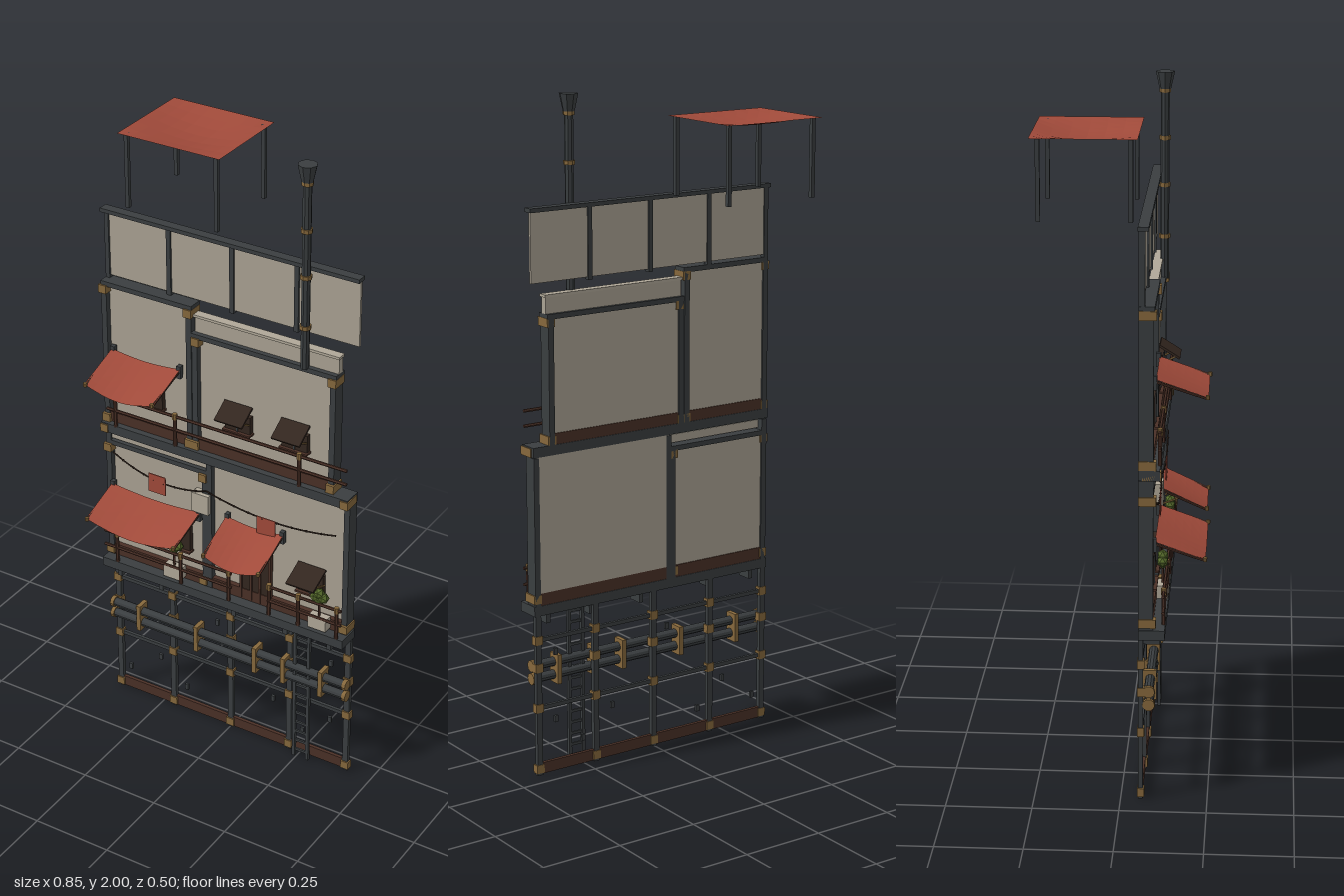
import * as THREE from 'three';

const mat = (color, double = false) => new THREE.MeshStandardMaterial({
  color, flatShading: true, side: double ? THREE.DoubleSide : THREE.FrontSide });
const wall = mat(0xaaa293), iron = mat(0x3a3e40), brown = mat(0x4a3026), dark = mat(0x33261f);
const brass = mat(0x86683c), stone = mat(0xb0a898), leaf = mat(0x566b2c), red = mat(0xa04a3a, true);

export function createModel() {
  const root = new THREE.Group();
  let parent = root;

  const section = (name) => {
    parent = new THREE.Group();
    parent.name = name;
    root.add(parent);
  };
  const add = (name, geo, m) => {
    const mesh = new THREE.Mesh(geo, m);
    mesh.name = name;
    parent.add(mesh);
    return mesh;
  };
  // Box given by its limits on each axis
  const box = (name, m, x0, x1, y0, y1, z0, z1) => {
    const b = add(name, new THREE.BoxGeometry(x1 - x0, y1 - y0, z1 - z0), m);
    b.position.set((x0 + x1) / 2, (y0 + y1) / 2, (z0 + z1) / 2);
    return b;
  };
  // Round bar between two points
  const bar = (name, m, a, b, r, sides = 8, r2 = r) => {
    const p = new THREE.Vector3(...a), q = new THREE.Vector3(...b);
    const mesh = add(name, new THREE.CylinderGeometry(r2, r, p.distanceTo(q), sides), m);
    mesh.position.copy(p).add(q).multiplyScalar(0.5);
    mesh.quaternion.setFromUnitVectors(new THREE.Vector3(0, 1, 0), q.sub(p).normalize());
    return mesh;
  };
  const joint = (x, y, z0 = 0.05, z1 = 0.1) =>
    box('brassJoint', brass, x - 0.013, x + 0.013, y - 0.013, y + 0.013, z0, z1);
  const post = (x, y0, y1, z0 = 0.05, z1 = 0.092, w = 0.018) =>
    box('post', iron, x - w / 2, x + w / 2, y0, y1, z0, z1);

  // Cloth sheet sloping from back to front, with a sag
  const cloth = (name, x0, x1, yBack, zBack, yFront, zFront, sag) => {
    const g = new THREE.PlaneGeometry(x1 - x0, 1, 8, 6), p = g.attributes.position;
    for (let i = 0; i < p.count; i++) {
      const u = p.getX(i) / (x1 - x0) + 0.5, v = 0.5 - p.getY(i);
      p.setXYZ(i, x0 + u * (x1 - x0),
        yBack + (yFront - yBack) * v - sag(u, v), zBack + (zFront - zBack) * v);
    }
    g.computeVertexNormals();
    return add(name, g, red);
  };
  const awning = (x0, x1, yBack, yFront, zFront) => {
    cloth('awningCloth', x0, x1, yBack, 0.095, yFront, zFront, (u, v) => 0.025 * Math.sin(Math.PI * u) * (0.4 + 0.6 * v));
    for (const x of [x0 + 0.004, x1 - 0.004]) {
      bar('awningArm', brown, [x, yBack - 0.006, 0.09], [x, yFront - 0.004, zFront], 0.004, 6);
      box('awningBracket', iron, x - 0.007, x + 0.007, yBack - 0.03, yBack + 0.01, 0.085, 0.1);
      bar('awningTip', brass, [x, yFront - 0.006, zFront], [x, yFront + 0.006, zFront], 0.006, 6);
    }
  };
  const windowUnit = (x0, x1, y0, y1) => {
    box('windowPane', dark, x0, x1, y0, y1, 0.07, 0.09);
    box('windowSill', brown, x0 - 0.004, x1 + 0.004, y0 - 0.006, y0, 0.07, 0.1);
    const mid = (x0 + x1) / 2;
    box('windowBar', iron, mid - 0.003, mid + 0.003, y0, y1, 0.09, 0.093);
  };
  // Tilted board shading a window
  const hood = (x0, x1, y0, y1, z) => {
    const depth = z - 0.08;
    const h = add('windowHood', new THREE.BoxGeometry(x1 - x0, 0.007, Math.hypot(depth, y1 - y0)), dark);
    h.position.set((x0 + x1) / 2, (y0 + y1) / 2, (0.08 + z) / 2);
    h.rotation.x = Math.atan2(y1 - y0, depth);
    for (const x of [x0 + 0.006, x1 - 0.006])
      bar('hoodStrut', brass, [x, y0 - 0.02, 0.08], [x, y0 + 0.006, z - 0.01], 0.003, 5);
  };
  const railing = (x0, x1, heights, posts, yDeck, z) => {
    for (const y of heights) bar('rail', brown, [x0, y, z], [x1, y, z], 0.005, 6);
    for (const x of posts) {
      bar('railPost', brown, [x, yDeck, z], [x, heights[0], z], 0.006, 6);
      bar('railCap', brass, [x, heights[0] - 0.01, z], [x, heights[0] + 0.01, z], 0.008, 6);
    }
  };

  // Open frame at the bottom
  section('lowerFrame');
  const columns = [-0.41, -0.21, 0, 0.21, 0.41];
  for (const x of columns) {
    post(x, 0, 0.5, 0.05, 0.064);
    for (const y of [0.02, 0.21, 0.335, 0.42]) joint(x, y, 0.048, 0.068);
  }
  box('baseBeam', brown, -0.41, 0.41, 0.004, 0.038, 0.051, 0.062);
  for (const y of [0.21, 0.42]) box('crossBar', iron, -0.41, 0.41, y - 0.006, y + 0.006, 0.052, 0.062);
  for (const [x, y] of [[-0.26, 0.165], [-0.05, 0.375], [0.15, 0.165], [0.35, 0.375],
    [-0.375, 0.085], [-0.165, 0.085], [0.35, 0.165], [0.255, 0.085]])
    box('smallPlate', iron, x - 0.006, x + 0.006, y - 0.01, y + 0.01, 0.052, 0.06);
  for (const x of [-0.37, -0.22, 0.04, 0.22, 0.37]) box('deckBracket', iron, x - 0.007, x + 0.007, 0.465, 0.5, 0.06, 0.11);

  section('pipes');
  for (const y of [0.295, 0.335]) {
    bar('pipe', iron, [-0.415, y, 0.08], [0.415, y, 0.08], 0.014, 10);
    for (const x of [-0.415, 0.415]) bar('pipeEnd', brass, [x - 0.006, y, 0.08], [x + 0.006, y, 0.08], 0.018, 10);
  }
  for (const x of [-0.315, -0.105, 0.105, 0.205, 0.335])
    box('pipeClamp', brass, x - 0.007, x + 0.007, 0.27, 0.36, 0.055, 0.098);

  section('ladder');
  for (const x of [0.24, 0.287]) box('ladderSide', iron, x - 0.005, x + 0.005, 0, 0.5, 0.075, 0.085);
  for (let y = 0.025; y < 0.49; y += 0.035) box('rung', iron, 0.24, 0.287, y - 0.004, y + 0.004, 0.077, 0.083);

  // Lower storey
  section('lowerStorey');
  box('deckBeam', iron, -0.423, 0.423, 0.495, 0.525, 0.05, 0.125);
  box('floorBeam', brown, -0.41, 0.41, 0.525, 0.562, 0.052, 0.09);
  box('leftWall', wall, -0.41, -0.06, 0.55, 0.925, 0.055, 0.074);
  box('leftTopBeam', iron, -0.415, -0.06, 0.92, 0.935, 0.05, 0.092);
  box('leftHighStrip', wall, -0.41, -0.06, 0.94, 0.965, 0.07, 0.085);
  box('rightWall', wall, -0.055, 0.41, 0.55, 0.975, 0.052, 0.074);
  post(-0.41, 0.525, 0.97);
  post(-0.07, 0.525, 0.93);
  post(-0.055, 0.525, 0.97);
  post(0.41, 0.525, 0.97);
  for (const [x, y] of [[-0.41, 0.545], [-0.41, 0.91], [-0.075, 0.545], [-0.075, 0.91], [0.41, 0.545]]) joint(x, y);
  windowUnit(-0.365, -0.27, 0.63, 0.715);
  windowUnit(-0.22, -0.125, 0.63, 0.715);
  windowUnit(0.25, 0.335, 0.63, 0.7);
  hood(0.247, 0.34, 0.685, 0.72, 0.155);
  box('door', dark, 0.055, 0.155, 0.53, 0.73, 0.07, 0.088);
  for (const x of [0.055, 0.09, 0.12, 0.155]) box('doorPlank', brown, x - 0.004, x + 0.004, 0.53, 0.735, 0.08, 0.093);
  box('doorLintel', brown, 0.045, 0.165, 0.73, 0.74, 0.07, 0.096);
  box('wallBox', stone, -0.108, -0.05, 0.79, 0.855, 0.074, 0.105);
  awning(-0.4, -0.085, 0.785, 0.735, 0.237);
  awning(0.007, 0.203, 0.805, 0.742, 0.23);
  railing(-0.415, 0.04, [0.625, 0.575], [-0.37, -0.14, 0.03], 0.525, 0.12);
  railing(0.165, 0.415, [0.625, 0.575], [0.17, 0.27, 0.4], 0.525, 0.12);

  // Planters
  for (const [x, y] of [[-0.17, 0.645], [0.335, 0.64]]) {
    box('planter', stone, x - 0.03, x + 0.03, 0.535, 0.575, 0.092, 0.124);
    bar('plantStem', brown, [x, 0.575, 0.108], [x, y, 0.108], 0.004, 5);
    for (const [dx, dy] of [[-0.014, 0], [0.014, 0.002], [0, 0.014], [0, -0.01]]) {
      const l = add('foliage', new THREE.IcosahedronGeometry(0.017, 0), leaf);
      l.position.set(x + dx, y + dy, 0.108);
    }
  }

  // Hanging line with cloth squares
  section('hangingLine');
  for (const [a, b, y0, y1, sag] of [[-0.39, -0.06, 0.9, 0.87, 0.035], [-0.06, 0.38, 0.87, 0.865, 0.025]]) {
    const line = new THREE.QuadraticBezierCurve3(new THREE.Vector3(a, y0, 0.098),
      new THREE.Vector3((a + b) / 2, (y0 + y1) / 2 - sag * 2, 0.105), new THREE.Vector3(b, y1, 0.098));
    add('line', new THREE.TubeGeometry(line, 16, 0.0025, 5), dark);
    for (let i = 1; i < 9; i++) {
      const bead = add('lineBead', new THREE.OctahedronGeometry(0.005), dark);
      bead.position.copy(line.getPoint(i / 9));
    }
  }
  box('redCloth', red, -0.26, -0.2, 0.81, 0.872, 0.102, 0.105);
  box('redCloth', red, 0.118, 0.18, 0.79, 0.848, 0.102, 0.105);

  // Upper storey
  section('upperStorey');
  box('deckBeam', iron, -0.423, 0.42, 0.972, 1.002, 0.05, 0.11);
  for (const x of [-0.41, 0.41]) joint(x, 0.985, 0.06, 0.114);
  box('floorBeam', brown, -0.41, 0.36, 1.002, 1.035, 0.052, 0.09);
  box('leftWall', wall, -0.41, -0.115, 1.03, 1.46, 0.055, 0.074);
  box('leftTopBeam', iron, -0.418, -0.108, 1.455, 1.47, 0.05, 0.095);
  box('rightWall', wall, -0.1, 0.355, 1.03, 1.375, 0.055, 0.074);
  box('rightTopBeam', iron, -0.11, 0.367, 1.37, 1.385, 0.05, 0.095);
  box('rightHighStrip', wall, -0.105, 0.367, 1.385, 1.437, 0.06, 0.08);
  box('highStripCap', stone, -0.108, 0.37, 1.433, 1.441, 0.057, 0.085);
  post(-0.41, 1, 1.46);
  post(-0.12, 1, 1.46);
  post(-0.1, 1, 1.38);
  post(0.355, 1, 1.38);
  for (const [x, y] of [[-0.41, 1.015], [-0.41, 1.445], [-0.12, 1.015], [-0.12, 1.445], [-0.1, 1.015],
    [-0.095, 1.36], [0.355, 1.015], [0.355, 1.36]]) joint(x, y);
  windowUnit(-0.31, -0.215, 1.095, 1.18);
  windowUnit(0, 0.085, 1.105, 1.16);
  windowUnit(0.19, 0.275, 1.105, 1.16);
  hood(-0.005, 0.088, 1.152, 1.19, 0.14);
  hood(0.185, 0.278, 1.152, 1.19, 0.14);
  awning(-0.385, -0.147, 1.255, 1.205, 0.24);
  railing(-0.4, 0.415, [1.1, 1.055], [-0.37, -0.16, 0.26], 1, 0.108);

  // Parapet
  section('parapet');
  box('parapetPanel', wall, -0.41, 0.418, 1.478, 1.685, 0.054, 0.062);
  box('parapetCap', iron, -0.424, 0.421, 1.68, 1.692, 0.048, 0.078);
  for (const x of [-0.41, -0.2, 0.01, 0.22]) post(x, 1.47, 1.685, 0.05, 0.068, 0.014);

  // Chimney
  section('chimney');
  bar('chimneyPipe', iron, [0.263, 1.38, 0.09], [0.263, 1.95, 0.09], 0.013);
  bar('chimneyCap', iron, [0.263, 1.945, 0.09], [0.263, 2, 0.09], 0.016, 8, 0.028);
  for (const y of [1.51, 1.665, 1.805, 1.945])
    bar('chimneyBand', brass, [0.263, y - 0.006, 0.09], [0.263, y + 0.006, 0.09], 0.017);

  // Roof canopy
  section('roofCanopy');
  cloth('canopyCloth', -0.38, -0.043, 1.92, -0.25, 1.92, 0.045,
    (u, v) => 0.022 * Math.sin(Math.PI * u) * Math.sin(Math.PI * v));
  for (const x of [-0.36, -0.063])
    for (const z of [-0.227, 0.026]) box('canopyPost', iron, x - 0.006, x + 0.006, 1.69, 1.918, z - 0.006, z + 0.006);

  return root;
}
